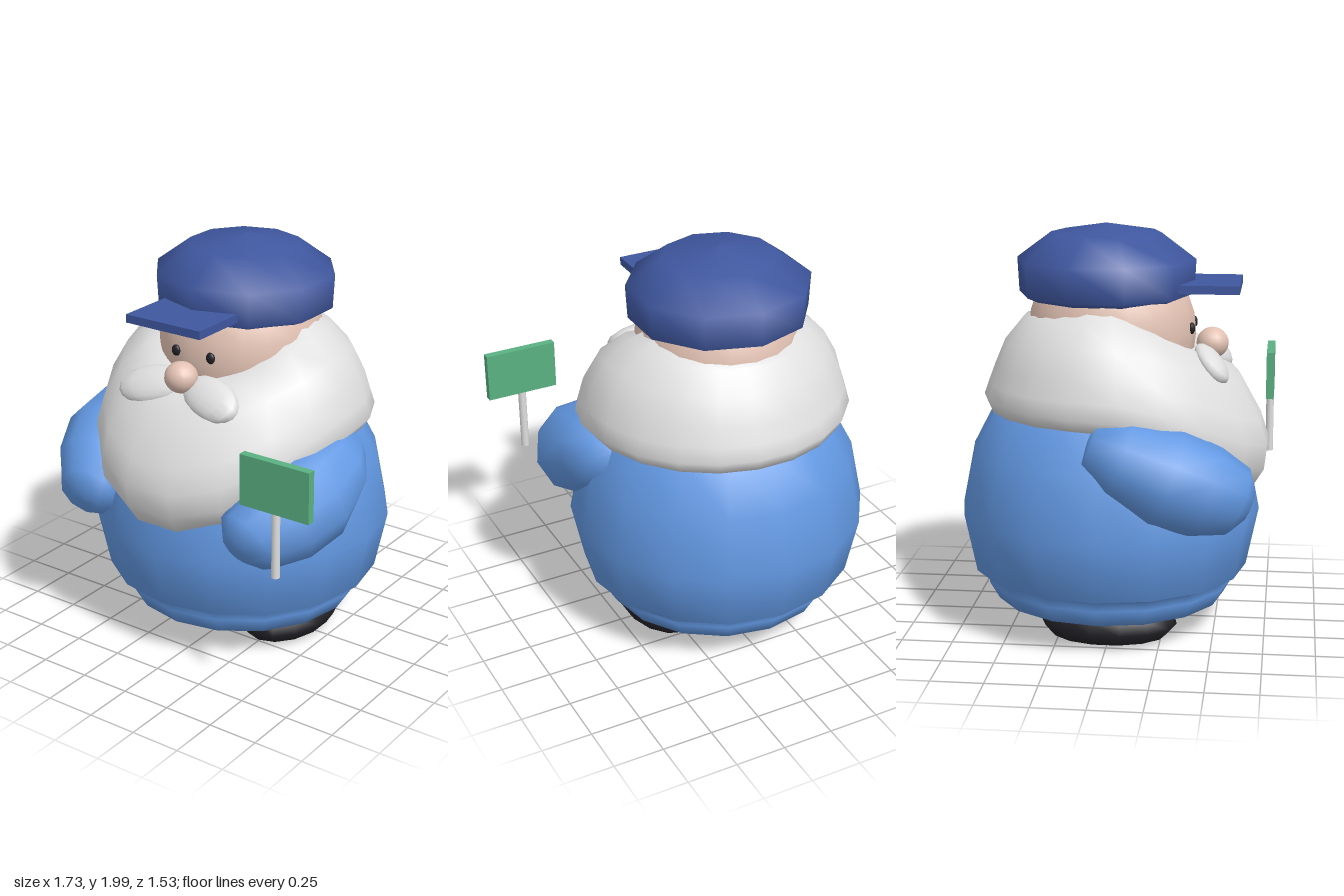
import * as THREE from 'three';

const CX = -0.04, CZ = -0.04; // figure's vertical axis

const mat = (name, color, side = THREE.FrontSide) => {
  const m = new THREE.MeshStandardMaterial({ color, side });
  m.name = name;
  return m;
};

export function createModel() {
  const blue = mat('coat blue', 0x6298e2);
  const navy = mat('cap navy', 0x3f579f);
  const white = mat('beard white', 0xe0e0e0, THREE.DoubleSide);
  const skin = mat('skin', 0xe2c2b3);
  const black = mat('black', 0x222126);
  const green = mat('sign green', 0x5ab182);

  const root = new THREE.Group();
  const figure = new THREE.Group();
  figure.name = 'figure';
  figure.position.set(CX, 0, CZ);
  root.add(figure);

  const add = (name, geo, material, x = 0, y = 0, z = 0, parent = figure) => {
    const m = new THREE.Mesh(geo, material);
    m.name = name;
    m.position.set(x, y, z);
    parent.add(m);
    return m;
  };
  const lathe = (pts, n) => new THREE.LatheGeometry(pts.map(p => new THREE.Vector2(...p)), n);
  const ball = (sx, sy, sz, n = 16) => new THREE.SphereGeometry(1, n, Math.ceil(n * 0.7)).scale(sx, sy, sz);

  // Coat: round body pinched above a rolled hem
  add('coat', lathe([[0, 0.155], [0.57, 0.158], [0.62, 0.245], [0.585, 0.278], [0.68, 0.31], [0.74, 0.6],
    [0.68, 0.9], [0.56, 1.13], [0.3, 1.35], [0, 1.4]], 16), blue, 0, 0, 0.01);

  // Head
  add('head', ball(0.40, 0.42, 0.41, 20), skin, 0, 1.48, 0.02);
  add('nose', ball(0.082, 0.076, 0.078), skin, 0, 1.425, 0.51);

  // Beard: profiles [radius, height] at front, side and back, blended around the head
  const front = [[0.35, 1.41], [0.50, 1.38], [0.65, 1.26], [0.76, 1.06], [0.80, 0.94], [0.785, 0.82], [0.73, 0.73], [0.6, 0.73]];
  const side = [[0.34, 1.64], [0.44, 1.58], [0.56, 1.48], [0.63, 1.36], [0.66, 1.25], [0.685, 1.17], [0.64, 1.11], [0.48, 1.11]];
  const back = [[0.35, 1.57], [0.41, 1.55], [0.5, 1.44], [0.55, 1.32], [0.58, 1.24], [0.605, 1.17], [0.58, 1.11], [0.45, 1.11]];
  const N = 20, R = front.length, pos = [], idx = [];
  for (let j = 0; j < N; j++) {
    const a = ((j + 0.5) / N) * Math.PI * 2, c = Math.cos(a);
    const end = c > 0 ? front : back;
    for (let i = 0; i < R; i++) {
      const w = Math.pow(Math.abs(c), c < 0 ? 0.9 : i === 0 ? 1.5 : 2);
      const r = side[i][0] + (end[i][0] - side[i][0]) * w;
      const y = side[i][1] + (end[i][1] - side[i][1]) * w;
      pos.push(Math.sin(a) * r, y, c * r);
      if (i < R - 1) {
        const p = j * R + i, q = ((j + 1) % N) * R + i;
        idx.push(p, p + 1, q + 1, p, q + 1, q);
      }
    }
  }
  const beard = new THREE.BufferGeometry();
  beard.setAttribute('position', new THREE.Float32BufferAttribute(pos, 3));
  beard.setIndex(idx);
  beard.computeVertexNormals();
  add('beard', beard, white);

  // Ten-sided cap with a flat brim
  const cap = lathe([[0, 1.645], [0.38, 1.64], [0.438, 1.665], [0.447, 1.83], [0.275, 1.955], [0, 2]], 10);
  add('cap', cap.scale(1, 1, 0.975), navy, 0, 0, -0.008);
  add('brim', new THREE.BoxGeometry(0.42, 0.04, 0.34), navy, 0, 1.71, 0.475);

  // Paired parts
  const armProfile = [[0, -0.40], [0.12, -0.39], [0.19, -0.24], [0.235, 0], [0.215, 0.2], [0.16, 0.36], [0.08, 0.415], [0, 0.42]];
  const footProfile = [[0, 0.008], [0.5, 0.014], [0.85, 0.035], [1, 0.09], [0.95, 0.15], [0.7, 0.19]];
  const up = new THREE.Vector3(0, 1, 0);
  for (const s of [1, -1]) {
    const label = s > 0 ? 'left' : 'right';

    // Arm reaches forward and down, with both ends bent in towards the body
    const aim = new THREE.Vector3(-s * 0.11, -0.3, 0.72).normalize();
    const arm = lathe(armProfile, 10).applyQuaternion(new THREE.Quaternion().setFromUnitVectors(up, aim));
    const p = arm.attributes.position;
    for (let i = 0; i < p.count; i++) p.setX(i, p.getX(i) - s * 0.6 * p.getZ(i) ** 2);
    add(label + 'Arm', arm, blue, s * 0.595, 0.9, 0.33);

    add(label + 'Foot', lathe(footProfile, 14).scale(0.22, 1, 0.33), black, s * 0.31, 0, 0.04);
    add(label + 'Eye', ball(0.024, 0.028, 0.016, 12), black, s * 0.1, 1.51, 0.415);

    const half = add(label + 'Moustache', ball(0.175, 0.1, 0.05, 12), white, s * 0.172, 1.355, 0.515);
    half.rotation.set(-0.8, 0, -s * 0.3);
  }

  // Small sign on a post
  const sign = new THREE.Group();
  sign.name = 'sign';
  root.add(sign);
  add('signBoard', new THREE.BoxGeometry(0.365, 0.245, 0.04), green, 0.682, 1.155, 0.745, sign);
  add('signPost', new THREE.CylinderGeometry(0.02, 0.02, 0.33, 10), white, 0.682, 0.88, 0.745, sign);

  return root;
}
